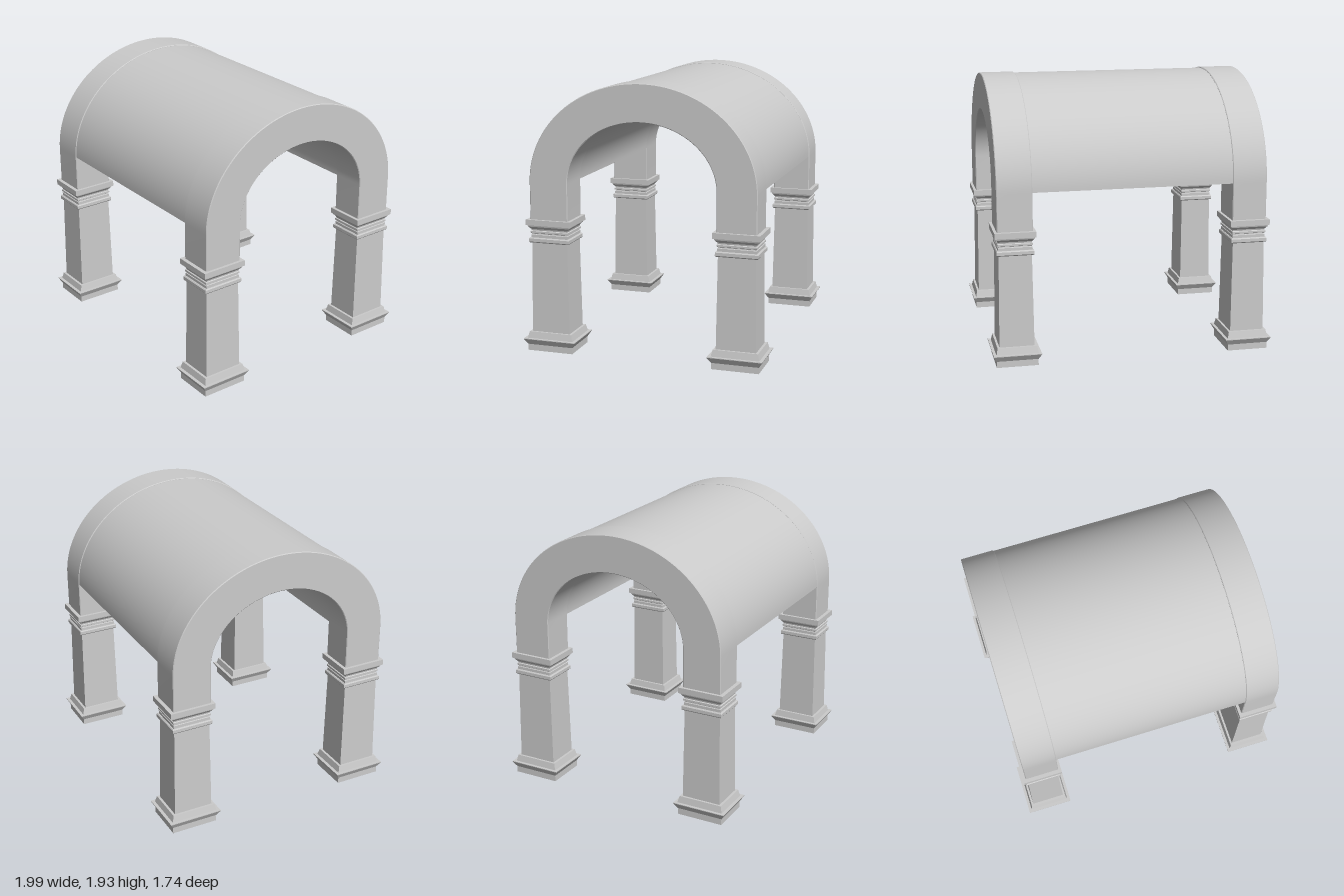
import * as THREE from 'three';
import { toCreasedNormals } from 'three/addons/utils/BufferGeometryUtils.js';

const SPRING = 1.215; // height where the curve starts

// Arch cross-section in the z-y plane, with straight legs down to footY
function archShape(halfWidth, rise, footY) {
  const innerWidth = 0.536, innerRise = 0.45;
  const s = new THREE.Shape();
  s.moveTo(halfWidth, footY);
  if (footY < SPRING) s.lineTo(halfWidth, SPRING);
  s.absellipse(0, SPRING, halfWidth, rise, 0, Math.PI, false, 0);
  if (footY < SPRING) s.lineTo(-halfWidth, footY);
  s.lineTo(-innerWidth, footY);
  if (footY < SPRING) s.lineTo(-innerWidth, SPRING);
  s.absellipse(0, SPRING, innerWidth, innerRise, Math.PI, 0, true, 0);
  if (footY < SPRING) s.lineTo(innerWidth, footY);
  s.closePath();
  return s;
}

// Extrude a cross-section along x, centred at x
function extrudeAlongX(shape, length, x, bevel, material, name) {
  let geo = new THREE.ExtrudeGeometry(shape, {
    depth: length - 2 * bevel,
    curveSegments: 36,
    bevelEnabled: bevel > 0,
    bevelThickness: bevel,
    bevelSize: bevel,
    bevelOffset: -bevel,
    bevelSegments: 1,
  });
  geo.translate(0, 0, -(length - 2 * bevel) / 2);
  geo.rotateY(Math.PI / 2);
  geo = toCreasedNormals(geo, 0.5);
  const mesh = new THREE.Mesh(geo, material);
  mesh.position.x = x;
  mesh.name = name;
  return mesh;
}

// Square moulded section: [half width, height] profile turned with four sides
function moulding(profile, material, name) {
  const points = profile.map(([h, y]) => new THREE.Vector2(h * Math.SQRT2, y));
  const geo = new THREE.LatheGeometry(points, 4, Math.PI / 4);
  geo.scale(1, 1, 1.16);
  const mesh = new THREE.Mesh(geo, material);
  mesh.name = name;
  return mesh;
}

export function createModel() {
  const model = new THREE.Group();
  model.name = 'vaultedCanopy';
  const stone = new THREE.MeshStandardMaterial({ color: 0xcccccc });
  const cutStone = new THREE.MeshStandardMaterial({ color: 0xcccccc, flatShading: true });

  // Barrel vault between two slightly prouder end arches
  model.add(extrudeAlongX(archShape(0.812, 0.707, SPRING), 1.42, 0, 0, stone, 'barrelVault'));
  for (const side of [-1, 1]) {
    model.add(extrudeAlongX(archShape(0.817, 0.714, 0.94), 0.246, side * 0.828, 0.005, stone,
      side > 0 ? 'leftEndArch' : 'rightEndArch'));
  }

  // Four pillars: flared base, tapered shaft, moulded capital
  const base = [[0, 0], [0.145, 0], [0.145, 0.045], [0.167, 0.085], [0.167, 0.09],
    [0.147, 0.09], [0.137, 0.137], [0, 0.137]];
  const shaft = [[0.122, 0.13], [0.114, 0.8]];
  const capital = [[0.112, 0.786], [0.124, 0.786], [0.129, 0.793], [0.129, 0.815], [0.124, 0.822],
    [0.118, 0.822], [0.118, 0.842], [0.114, 0.845], [0.114, 0.851], [0.121, 0.855],
    [0.121, 0.868], [0.115, 0.872], [0.117, 0.882], [0.131, 0.9], [0.134, 0.912],
    [0.143, 0.912], [0.143, 0.952], [0, 0.952]];
  for (const sx of [-1, 1]) {
    for (const sz of [-1, 1]) {
      const pillar = new THREE.Group();
      pillar.name = (sz > 0 ? 'front' : 'back') + (sx > 0 ? 'Left' : 'Right') + 'Pillar';
      pillar.add(
        moulding(base, cutStone, 'base'),
        moulding(shaft, cutStone, 'shaft'),
        moulding(capital, cutStone, 'capital'),
      );
      pillar.position.set(sx * 0.828, 0, sz * 0.678);
      model.add(pillar);
    }
  }
  return model;
}
